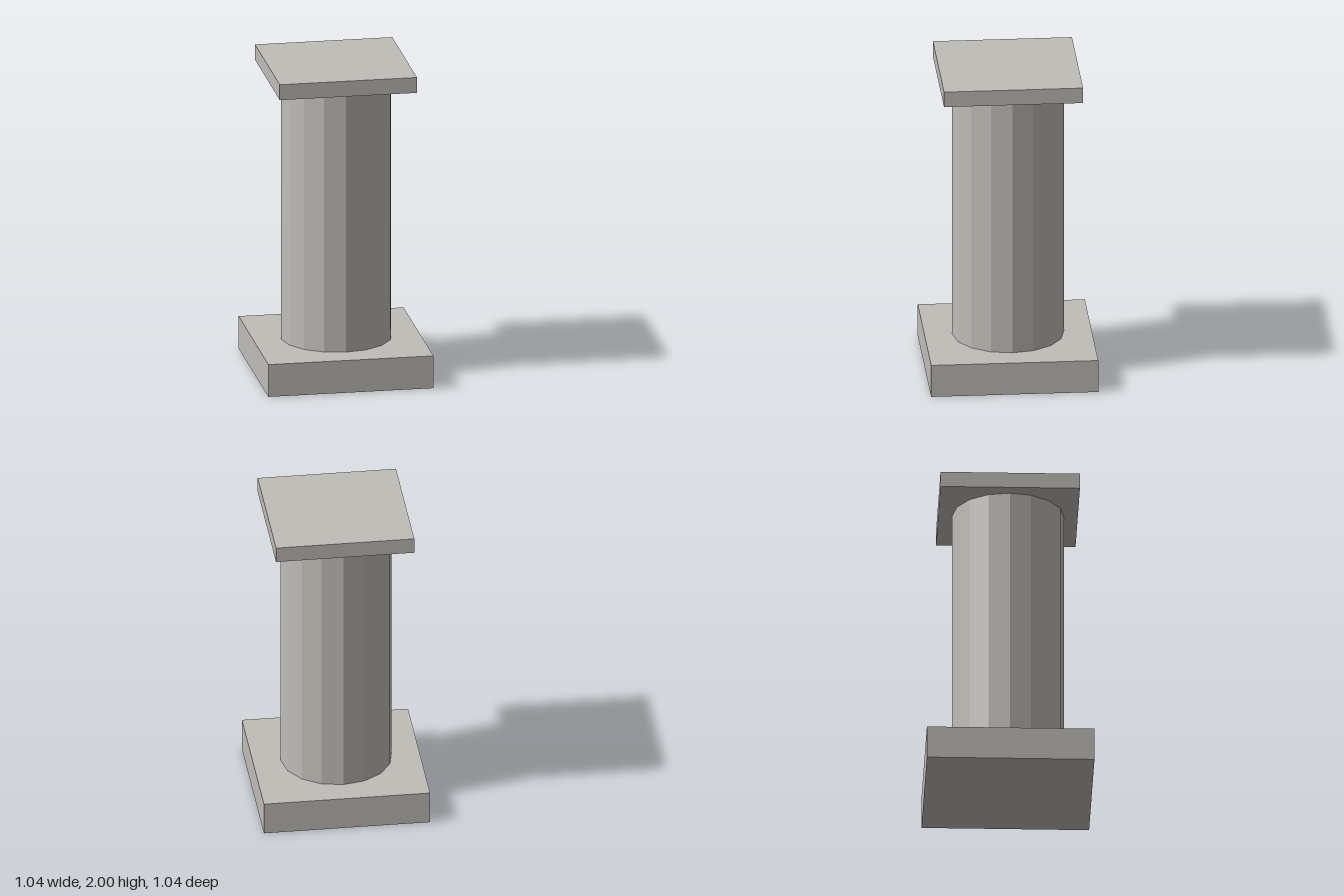
import * as THREE from 'three';

export function createModel() {
  const group = new THREE.Group();
  const stone = new THREE.MeshStandardMaterial({ color: 0xc0bdb8, flatShading: true });
  stone.name = 'pale stone';

  // Places a part with its underside at the given height
  const add = (name, geometry, bottom, height) => {
    const mesh = new THREE.Mesh(geometry, stone);
    mesh.name = name;
    mesh.position.y = bottom + height / 2;
    group.add(mesh);
  };
  const slab = (name, width, bottom, height) =>
    add(name, new THREE.BoxGeometry(width, height, width), bottom, height);

  // Square plinth, sixteen-sided shaft, square capital
  slab('plinth', 1.043, 0, 0.21);
  add('shaft', new THREE.CylinderGeometry(0.348, 0.348, 1.69, 16), 0.21, 1.69);
  slab('capital', 0.868, 1.9, 0.1);

  return group;
}
